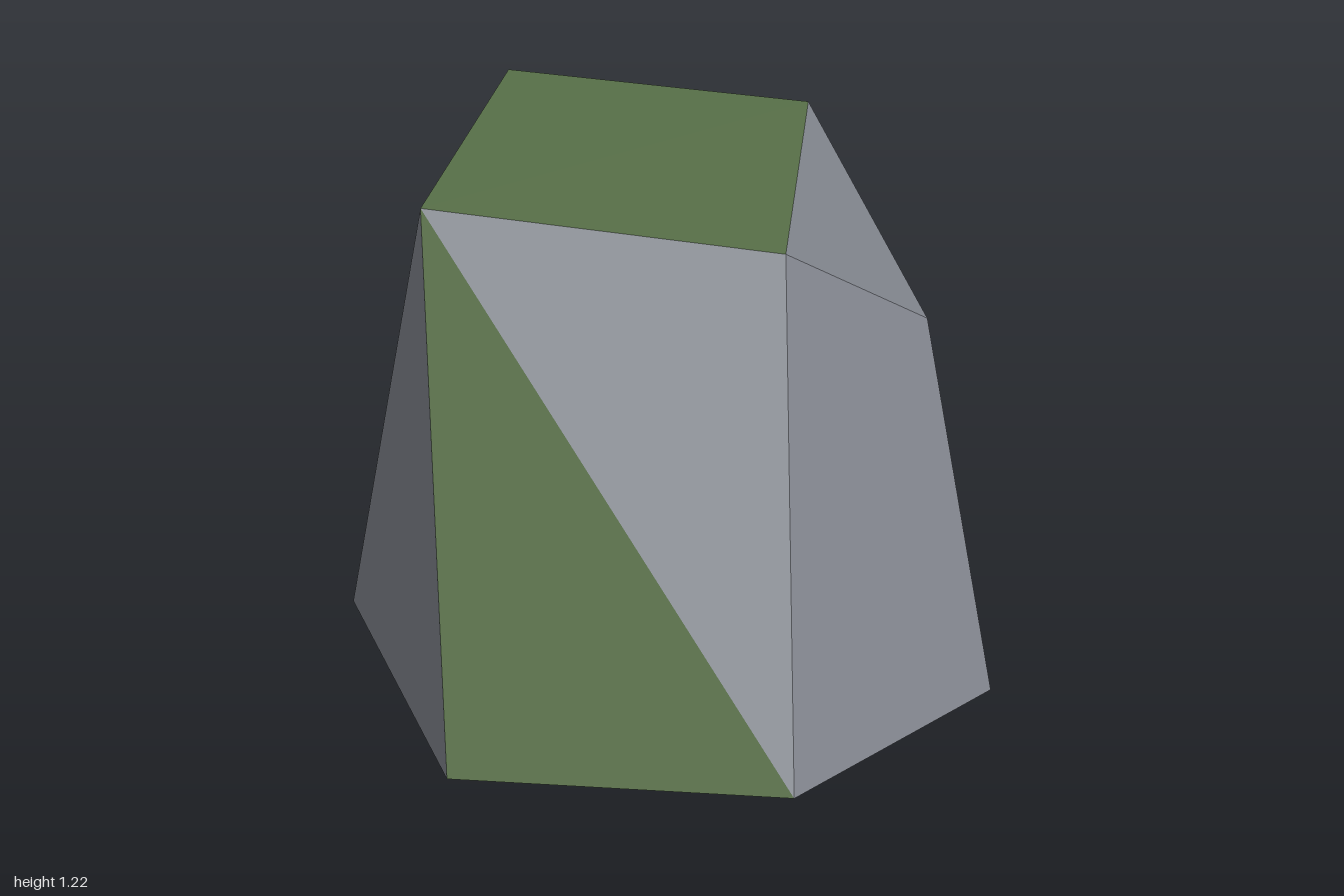
import * as THREE from 'three';

// Corners of the boulder: upper ring, shoulder, lower ring and foot
const corner = {
  topFrontRight: [-0.53, 1.22, 0.42],
  topFrontLeft: [0.27, 1.17, 0.34],
  topBackLeft: [0.10, 1.11, -0.51],
  topBackRight: [-0.55, 1.15, -0.42],
  shoulder: [0.51, 0.90, 0.04],
  lowFrontRight: [-0.32, 0.14, 1.0],
  lowFrontLeft: [0.46, 0.19, 1.0],
  lowLeft: [0.73, 0.17, 0.34],
  lowBackLeft: [0.27, 0.17, -1.0],
  lowBackRight: [-0.64, 0.17, -0.73],
  lowRight: [-0.73, 0.15, 0.23],
  foot: [0.20, 0, 0.04],
};

const heart = new THREE.Vector3(0, 0.6, 0);

// Flat-faced mesh from triangles of corner names, each turned to face outward
function facets(name, material, triangles) {
  const points = [];
  for (const names of triangles) {
    const [a, b, c] = names.map((n) => new THREE.Vector3(...corner[n]));
    const normal = b.clone().sub(a).cross(c.clone().sub(a));
    const outward = normal.dot(a.clone().sub(heart)) > 0;
    points.push(...(outward ? [a, b, c] : [a, c, b]));
  }
  const geometry = new THREE.BufferGeometry().setFromPoints(points);
  geometry.computeVertexNormals();
  const mesh = new THREE.Mesh(geometry, material);
  mesh.name = name;
  return mesh;
}

export function createModel() {
  const stone = new THREE.MeshStandardMaterial({ color: 0x82868e });
  stone.name = 'stone grey';
  const moss = new THREE.MeshStandardMaterial({ color: 0x587048 });
  moss.name = 'moss green';

  const boulder = new THREE.Group();
  boulder.name = 'mossyBoulder';

  // Moss on the top and on one front facet
  boulder.add(facets('mossCap', moss, [
    ['topFrontRight', 'topFrontLeft', 'topBackLeft'],
    ['topFrontRight', 'topBackLeft', 'topBackRight'],
  ]));
  boulder.add(facets('mossFront', moss, [
    ['topFrontRight', 'lowFrontRight', 'lowFrontLeft'],
  ]));

  // Bare stone around the sides
  boulder.add(facets('stoneSides', stone, [
    ['topFrontRight', 'lowFrontLeft', 'topFrontLeft'],
    ['topFrontLeft', 'lowFrontLeft', 'lowLeft'],
    ['topFrontLeft', 'lowLeft', 'shoulder'],
    ['topFrontLeft', 'shoulder', 'topBackLeft'],
    ['shoulder', 'lowLeft', 'lowBackLeft'],
    ['shoulder', 'lowBackLeft', 'topBackLeft'],
    ['topBackLeft', 'lowBackLeft', 'topBackRight'],
    ['topBackRight', 'lowBackLeft', 'lowBackRight'],
    ['topBackRight', 'lowBackRight', 'topFrontRight'],
    ['topFrontRight', 'lowBackRight', 'lowRight'],
    ['topFrontRight', 'lowRight', 'lowFrontRight'],
  ]));

  // Underside: a fan from the lower ring down to the foot
  const ring = ['lowFrontRight', 'lowFrontLeft', 'lowLeft', 'lowBackLeft', 'lowBackRight', 'lowRight'];
  boulder.add(facets('underside', stone,
    ring.map((n, i) => [n, ring[(i + 1) % ring.length], 'foot'])));

  return boulder;
}
